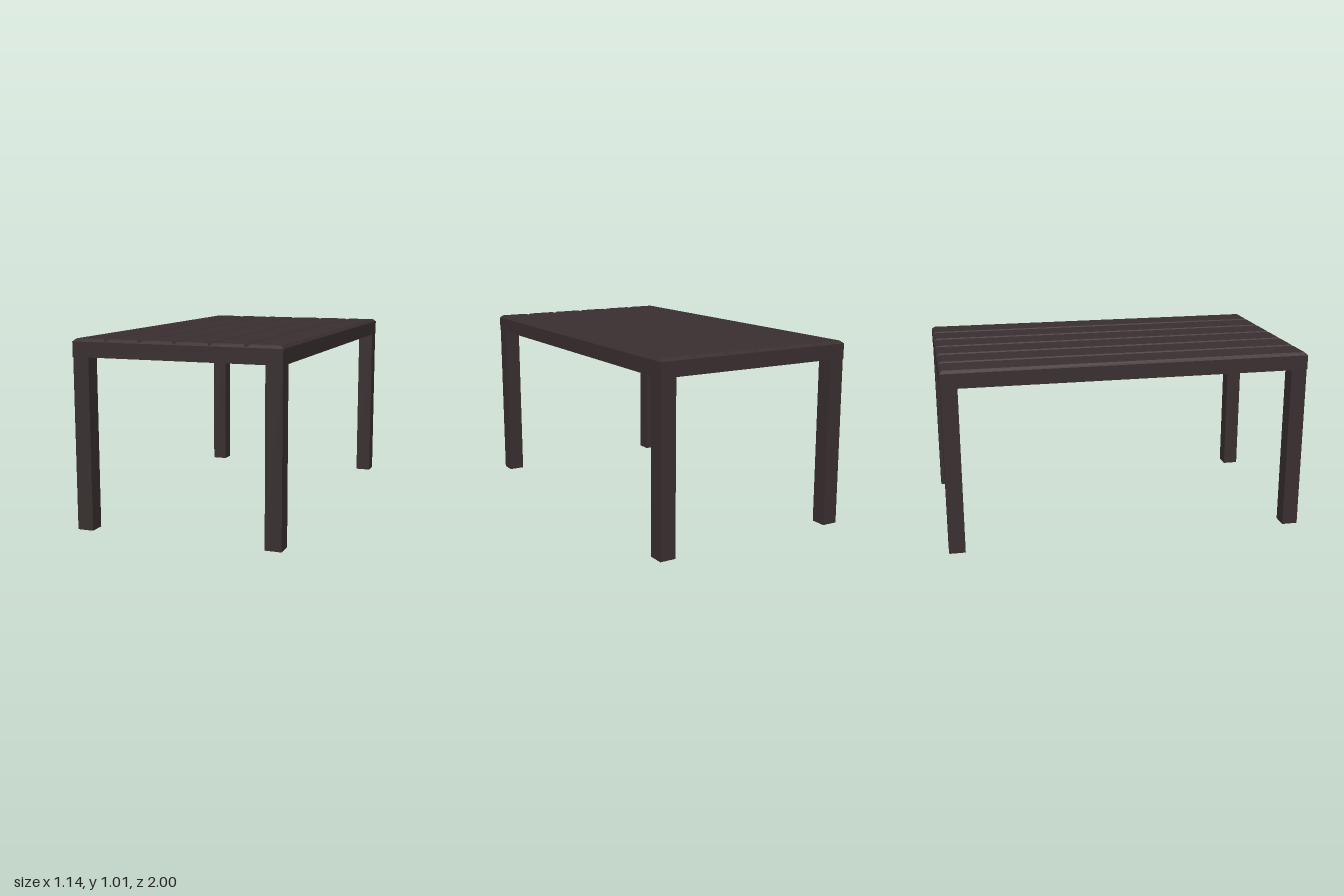
import * as THREE from 'three';

const HALF_X = 0.57, HALF_Z = 1, UNDER = 0.92, GROOVE = 1.0, TOP = 1.015;
const PLANKS = 6, CHAMFER = 0.016, LEG = 0.088;

// Box standing on y = 0 whose top face is drawn in by `inset`
function chamferedBox(w, h, d, inset) {
  const geo = new THREE.BoxGeometry(w, h, d).translate(0, h / 2, 0);
  const p = geo.attributes.position;
  for (let i = 0; i < p.count; i++) {
    if (p.getY(i) < h / 2) continue;
    p.setX(i, p.getX(i) - Math.sign(p.getX(i)) * inset);
    p.setZ(i, p.getZ(i) - Math.sign(p.getZ(i)) * inset);
  }
  geo.computeVertexNormals();
  return geo;
}

export function createModel() {
  const table = new THREE.Group();
  table.name = 'table';
  const darkWood = new THREE.MeshStandardMaterial({ color: 0x3a2f30 });
  darkWood.name = 'darkWood';

  const add = (name, geo, x, y, z) => {
    const mesh = new THREE.Mesh(geo, darkWood);
    mesh.name = name;
    mesh.position.set(x, y, z);
    table.add(mesh);
  };

  // Solid slab up to the bottom of the grooves
  add('tabletopSlab', new THREE.BoxGeometry(HALF_X * 2, GROOVE - UNDER, HALF_Z * 2),
    0, (GROOVE + UNDER) / 2, 0);

  // Planks with bevelled edges, leaving V grooves between them
  const plankWidth = HALF_X * 2 / PLANKS;
  const plank = chamferedBox(plankWidth, TOP - GROOVE, HALF_Z * 2, CHAMFER);
  for (let i = 0; i < PLANKS; i++) {
    add(`plank${i + 1}`, plank, -HALF_X + plankWidth * (i + 0.5), GROOVE, 0);
  }

  // Square legs, a hair inside the tabletop corners
  const leg = new THREE.BoxGeometry(LEG, UNDER, LEG);
  const edge = LEG / 2 + 0.002;
  for (const [sx, xName] of [[1, 'Left'], [-1, 'Right']]) {
    for (const [sz, zName] of [[1, 'front'], [-1, 'back']]) {
      add(`${zName}${xName}Leg`, leg, sx * (HALF_X - edge), UNDER / 2, sz * (HALF_Z - edge));
    }
  }
  return table;
}
